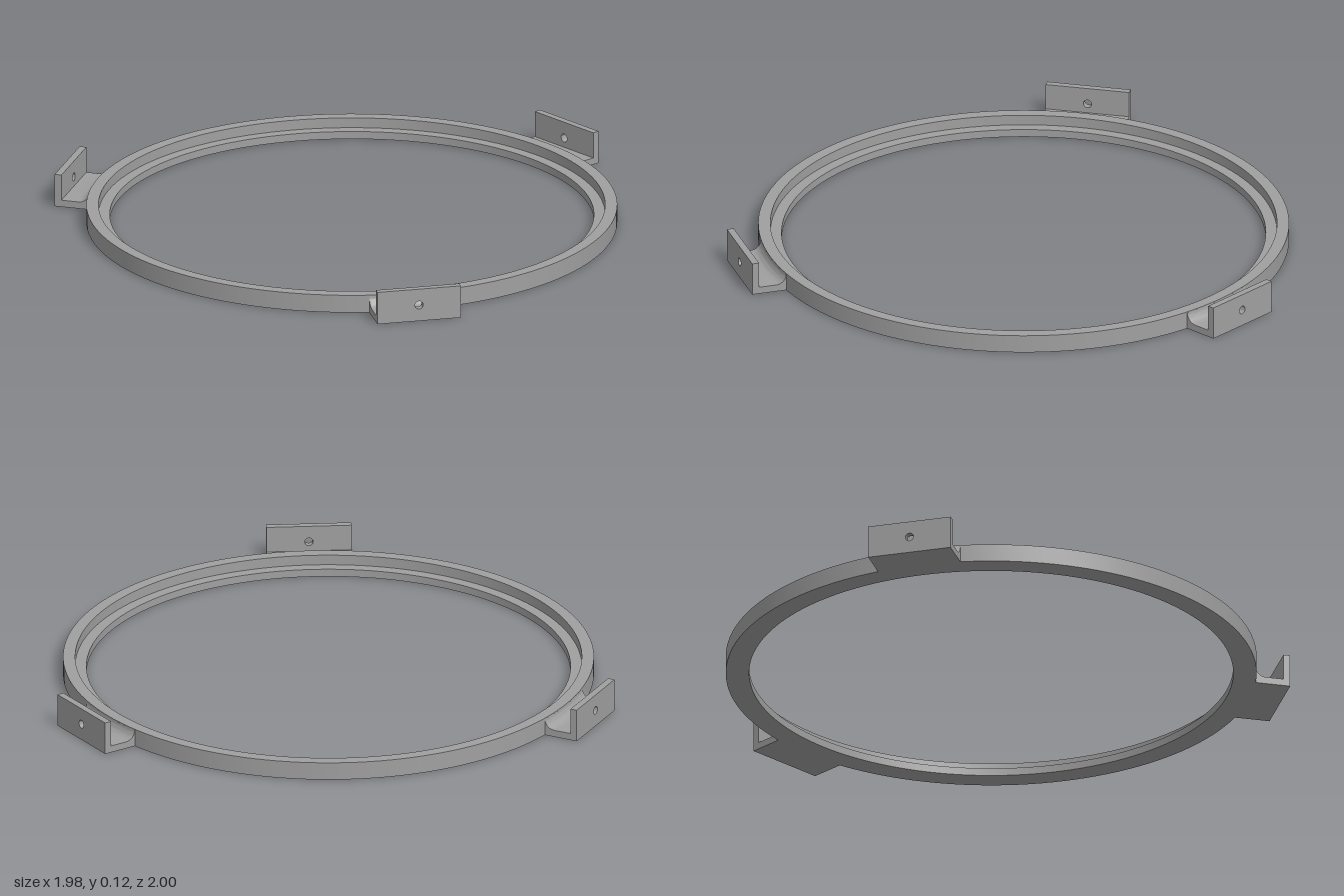
import * as THREE from 'three';
import { toCreasedNormals } from 'three/addons/utils/BufferGeometryUtils.js';

const R = 0.943;        // outer radius of the ring
const HALF = 0.152;     // half width of a bracket
const REACH = 1.057;    // outer face of a bracket, from the ring centre
const PLATE = 0.025;    // bracket sheet thickness

// Stepped ring: outer wall, top rim, recessed ledge, inner wall
function ringGeometry() {
  const profile = [
    [0.86, 0], [R, 0], [R, 0.065], [0.9, 0.065], [0.9, 0.028], [0.86, 0.028], [0.86, 0],
  ].map(([r, y]) => new THREE.Vector2(r, y));
  return toCreasedNormals(new THREE.LatheGeometry(profile, 144), 0.5);
}

// Bracket foot: flat outside, hugging the ring with a concave fillet inside
function footGeometry() {
  const fillet = 0.037;
  const profile = [
    { r: R - 0.006, y: 0 },
    { flat: REACH - PLATE, y: 0 },
    { flat: REACH - PLATE, y: PLATE },
  ];
  for (let i = 0; i <= 8; i++) {
    const a = (i / 8) * Math.PI / 2;
    profile.push({ r: R + fillet * (1 - Math.sin(a)), y: PLATE + fillet * (1 - Math.cos(a)) });
  }
  profile.push({ r: R - 0.006, y: PLATE + fillet });

  const depth = (p, x) => p.flat ?? Math.sqrt(p.r * p.r - x * x);
  const positions = [];
  const add = (p, x) => positions.push(x, p.y, depth(p, x));
  const steps = 16;
  for (let s = 0; s < steps; s++) {
    const x0 = -HALF + (2 * HALF * s) / steps;
    const x1 = -HALF + (2 * HALF * (s + 1)) / steps;
    profile.forEach((a, i) => {
      const b = profile[(i + 1) % profile.length];
      add(a, x0); add(a, x1); add(b, x1);
      add(a, x0); add(b, x1); add(b, x0);
    });
  }
  // Side caps
  const outline = profile.map((p) => new THREE.Vector2(depth(p, HALF), p.y));
  for (const [a, b, c] of THREE.ShapeUtils.triangulateShape(outline, [])) {
    [a, b, c].forEach((i) => add(profile[i], -HALF));
    [c, b, a].forEach((i) => add(profile[i], HALF));
  }
  const geometry = new THREE.BufferGeometry();
  geometry.setAttribute('position', new THREE.Float32BufferAttribute(positions, 3));
  return toCreasedNormals(geometry, 0.5);
}

// Upright tab with a screw hole
function tabGeometry() {
  const shape = new THREE.Shape();
  shape.moveTo(-HALF, 0);
  shape.lineTo(HALF, 0);
  shape.lineTo(HALF, 0.12);
  shape.lineTo(-HALF, 0.12);
  shape.closePath();
  const hole = new THREE.Path();
  hole.absarc(0, 0.06, 0.015, 0, Math.PI * 2, true);
  shape.holes.push(hole);
  const geometry = new THREE.ExtrudeGeometry(shape, { depth: PLATE, bevelEnabled: false, curveSegments: 12 });
  geometry.translate(0, 0, REACH - PLATE);
  return toCreasedNormals(geometry, 0.6);
}

export function createModel() {
  const grey = new THREE.MeshStandardMaterial({ color: 0xa0a0a0 });
  grey.name = 'grey';

  const model = new THREE.Group();
  model.name = 'mountingRing';

  const part = (name, geometry, parent) => {
    const mesh = new THREE.Mesh(geometry, grey);
    mesh.name = name;
    parent.add(mesh);
  };

  // The ring sits forward of centre because the rear bracket sticks out
  const assembly = new THREE.Group();
  assembly.name = 'ringAssembly';
  assembly.position.z = 1 - R;
  model.add(assembly);
  part('ring', ringGeometry(), assembly);

  // Three brackets, evenly spaced
  const foot = footGeometry();
  const tab = tabGeometry();
  const angles = { leftBracket: Math.PI / 3, rearBracket: Math.PI, rightBracket: -Math.PI / 3 };
  for (const [name, angle] of Object.entries(angles)) {
    const bracket = new THREE.Group();
    bracket.name = name;
    bracket.rotation.y = angle;
    part('bracketFoot', foot, bracket);
    part('bracketTab', tab, bracket);
    assembly.add(bracket);
  }
  return model;
}
